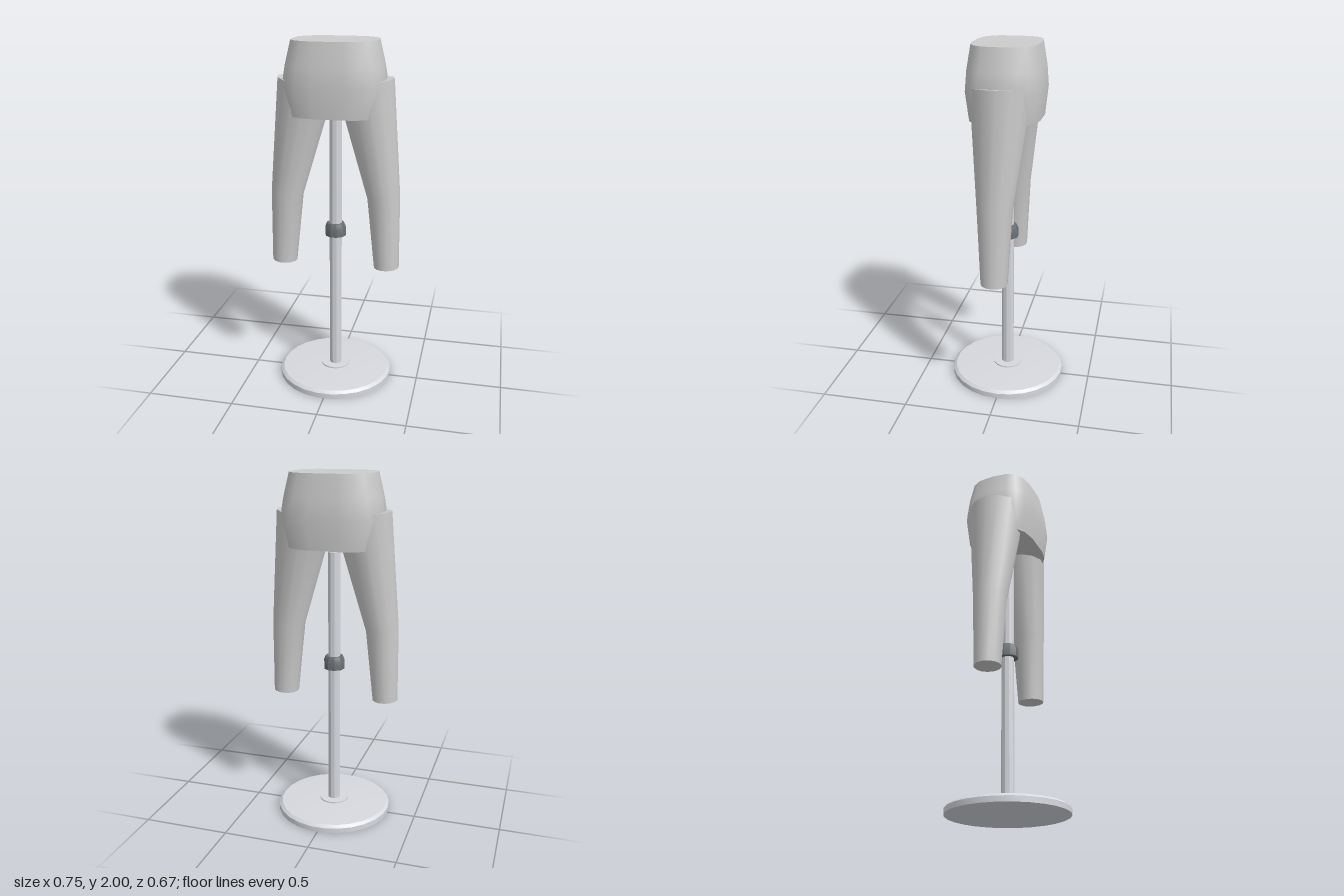
import * as THREE from 'three';
import { toCreasedNormals } from 'three/addons/utils/BufferGeometryUtils.js';

const bodyMat = new THREE.MeshStandardMaterial({ color: 0xcccccc });
const metalMat = new THREE.MeshStandardMaterial({ color: 0xd6d8de });
const darkMat = new THREE.MeshStandardMaterial({ color: 0x6a6f72 });

const bulge = (v, p) => Math.sign(v) * Math.abs(v) ** p;

// Capped loft through rings listed bottom to top; power < 1 squares off the oval,
// tilt leans a ring along x
function loft(rings, sides, power) {
  const pos = [], index = [];
  for (const { x = 0, y, z = 0, rx, rz, tilt = 0 } of rings) {
    for (let j = 0; j < sides; j++) {
      const a = (j / sides) * Math.PI * 2;
      const dx = rx * bulge(Math.cos(a), power);
      pos.push(x + dx, y + dx * tilt, z + rz * bulge(Math.sin(a), power));
    }
  }
  const last = (rings.length - 1) * sides;
  const bottom = pos.length / 3, top = bottom + 1;
  for (const r of [rings[0], rings[rings.length - 1]]) pos.push(r.x || 0, r.y, r.z || 0);
  for (let j = 0; j < sides; j++) {
    const k = (j + 1) % sides;
    for (let i = 0; i < last; i += sides) {
      index.push(i + j, i + sides + j, i + k, i + k, i + sides + j, i + sides + k);
    }
    index.push(bottom, j, k, top, last + k, last + j);
  }
  const geo = new THREE.BufferGeometry();
  geo.setAttribute('position', new THREE.Float32BufferAttribute(pos, 3));
  geo.setIndex(index);
  return toCreasedNormals(geo, 0.8);
}

// Turned part from [radius, y] points, with a corner on the x axis
function turned(points, sides, crease) {
  const geo = new THREE.LatheGeometry(points.map(([r, y]) => new THREE.Vector2(r, y)), sides);
  geo.rotateY(Math.PI / 2);
  return toCreasedNormals(geo, crease);
}

export function createModel() {
  const model = new THREE.Group();
  model.name = 'trouserDisplayForm';
  const add = (name, geo, mat) => {
    const mesh = new THREE.Mesh(geo, mat);
    mesh.name = name;
    model.add(mesh);
  };

  // Hips and waist
  add('hips', loft([
    { y: 1.6, rx: 0.25, rz: 0.195 },
    { y: 1.76, rx: 0.285, rz: 0.211 },
    { y: 1.87, rx: 0.266, rz: 0.203 },
    { y: 2, rx: 0.235, rz: 0.182 },
  ], 18, 0.65), bodyMat);

  // Legs, cut off below the knee
  for (const [name, s] of [['leftLeg', 1], ['rightLeg', -1]]) {
    add(name, loft([
      { x: s * 0.302, y: 0.722, z: 0.016, rx: 0.073, rz: 0.075, tilt: s * 0.03 },
      { x: s * 0.278, y: 1.143, z: 0.015, rx: 0.093, rz: 0.097, tilt: s * 0.12 },
      { x: s * 0.16, y: 1.78, z: 0, rx: 0.162, rz: 0.168, tilt: s * 0.12 },
    ], 14, 1), bodyMat);
  }

  // Stand: domed foot, flange, pole and height collar
  add('base', turned([
    [0, 0], [0.335, 0], [0.335, 0.03], [0.318, 0.044], [0.2, 0.05], [0, 0.054],
  ], 26, 0.5), metalMat);
  add('flange', turned([[0.085, 0.045], [0.085, 0.06], [0, 0.06]], 18, 0.5), metalMat);
  add('pole', turned([[0, 0.04], [0.036, 0.04], [0.036, 1.567], [0, 1.567]], 10, 0.5), metalMat);
  add('collar', turned([
    [0.03, 0.89], [0.061, 0.89], [0.061, 0.94], [0.05, 0.965], [0.03, 0.965],
  ], 10, 0.5), darkMat);

  return model;
}
